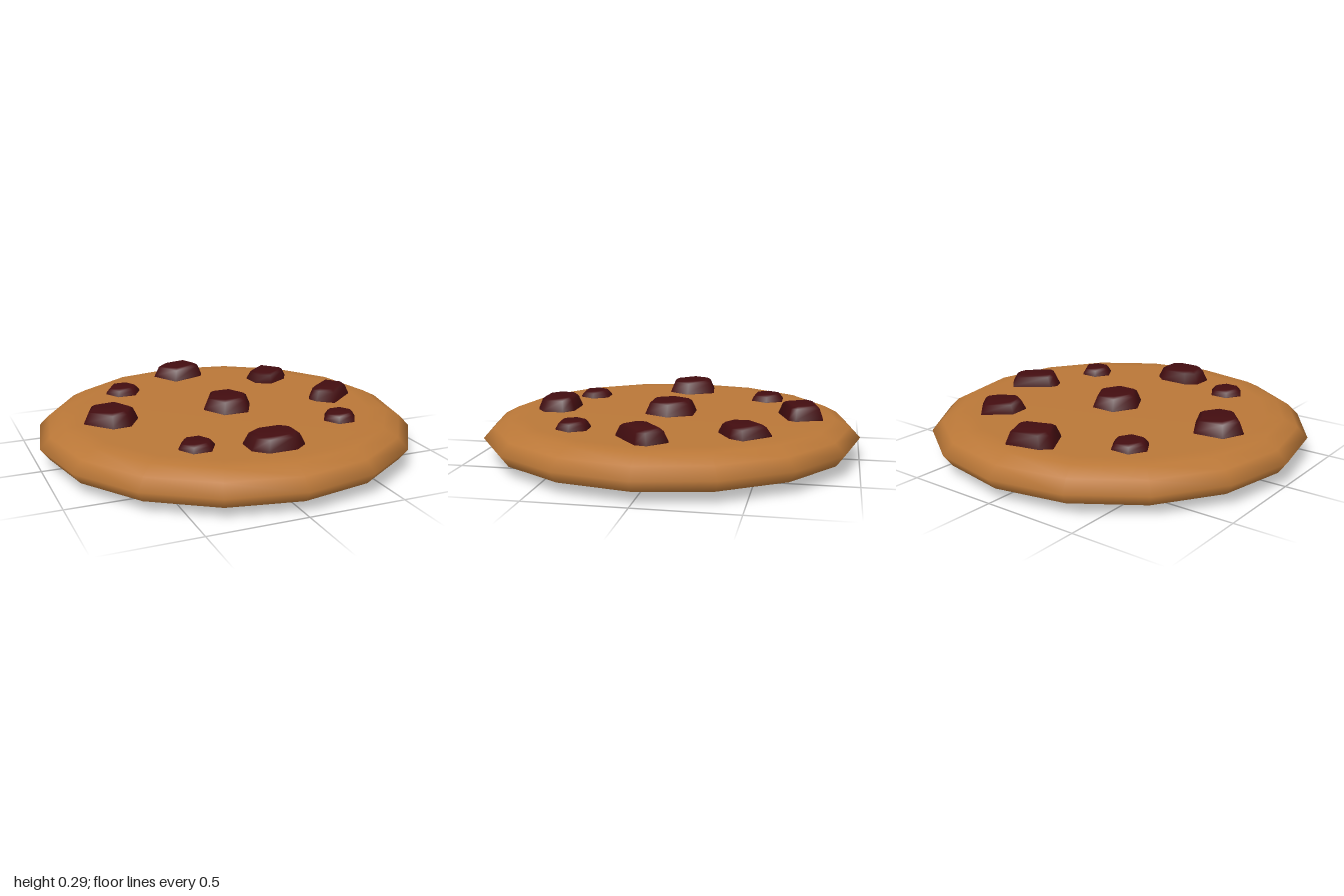
import * as THREE from 'three';

const dough = new THREE.MeshStandardMaterial({ name: 'bakedDough', color: 0xbb7838 });
const chocolate = new THREE.MeshStandardMaterial({ name: 'darkChocolate', color: 0x430d10 });

// Sixteen-sided surface of revolution; profile runs from the bottom up
function lathe(name, profile) {
  const points = profile.map(([r, y]) => new THREE.Vector2(r, y));
  const mesh = new THREE.Mesh(new THREE.LatheGeometry(points, 16), dough);
  mesh.name = name;
  return mesh;
}

// Chunk lofted from an [x, z] outline, clockwise seen from above, narrowing to a softened top
function chip(name, outline, top) {
  const n = outline.length;
  const cx = outline.reduce((s, p) => s + p[0], 0) / n;
  const cz = outline.reduce((s, p) => s + p[1], 0) / n;
  const rings = [[1, 0.19], [0.97, 0.225], [0.8, top - 0.012], [0.66, top]];
  const position = [];
  const index = [];
  for (const [scale, y] of rings) {
    for (const [x, z] of outline) position.push(cx + (x - cx) * scale, y, cz + (z - cz) * scale);
  }
  position.push(cx, top, cz);
  for (let i = 0; i < n; i++) {
    const j = (i + 1) % n;
    for (let r = 0; r < rings.length - 1; r++) {
      const a = r * n, b = a + n;
      index.push(a + j, a + i, b + i, a + j, b + i, b + j);
    }
    const last = (rings.length - 1) * n;
    index.push(rings.length * n, last + j, last + i);
  }
  const geometry = new THREE.BufferGeometry();
  geometry.setAttribute('position', new THREE.Float32BufferAttribute(position, 3));
  geometry.setIndex(index);
  geometry.computeVertexNormals();
  const mesh = new THREE.Mesh(geometry, chocolate);
  mesh.name = name;
  return mesh;
}

// Regular six-sided outline
function hexagon(x, z, r) {
  return Array.from({ length: 6 }, (_, i) => {
    const a = Math.PI + (i * Math.PI) / 3;
    return [x + r * Math.cos(a), z + r * Math.sin(a)];
  });
}

export function createModel() {
  const cookie = new THREE.Group();
  cookie.name = 'cookie';

  // Shallow cone underneath, rounded rim and flat top
  cookie.add(
    lathe('cookieBottom', [[0, 0], [0.955, 0.06]]),
    lathe('cookieRimAndTop', [[0.955, 0.06], [1, 0.12], [0.945, 0.175], [0.87, 0.213], [0.78, 0.218], [0, 0.218]]),
  );

  // Large irregular chunks
  cookie.add(
    chip('centreChip', [[-0.12, 0], [-0.05, -0.13], [0.085, -0.13], [0.155, 0], [0.09, 0.13], [-0.05, 0.13]], 0.29),
    chip('backChip', [[-0.16, -0.72], [-0.11, -0.77], [0.07, -0.81], [0.13, -0.67], [0.11, -0.63], [-0.075, -0.565]], 0.29),
    chip('backLeftChip', [[0.34, -0.47], [0.47, -0.58], [0.59, -0.45], [0.55, -0.38], [0.43, -0.31], [0.35, -0.36]], 0.275),
    chip('leftChip', [[0.49, 0.05], [0.51, 0.01], [0.68, -0.12], [0.765, -0.03], [0.755, 0.03], [0.59, 0.165], [0.51, 0.1]], 0.283),
    chip('rightChip', [[-0.77, -0.01], [-0.72, -0.13], [-0.56, -0.15], [-0.48, 0], [-0.55, 0.115], [-0.65, 0.125]], 0.29),
    chip('frontChip', [[-0.14, 0.56], [-0.075, 0.52], [0.085, 0.52], [0.14, 0.57], [0.14, 0.68], [0.075, 0.73], [-0.075, 0.73], [-0.14, 0.67]], 0.287),
  );

  // Small six-sided chips
  [['smallBackRightChip', -0.425, -0.48, 0.1, 0.258],
    ['smallFrontRightChip', -0.355, 0.52, 0.095, 0.255],
    ['smallFrontLeftChip', 0.48, 0.405, 0.092, 0.262],
  ].forEach(([name, x, z, r, top]) => cookie.add(chip(name, hexagon(x, z, r), top)));

  return cookie;
}
